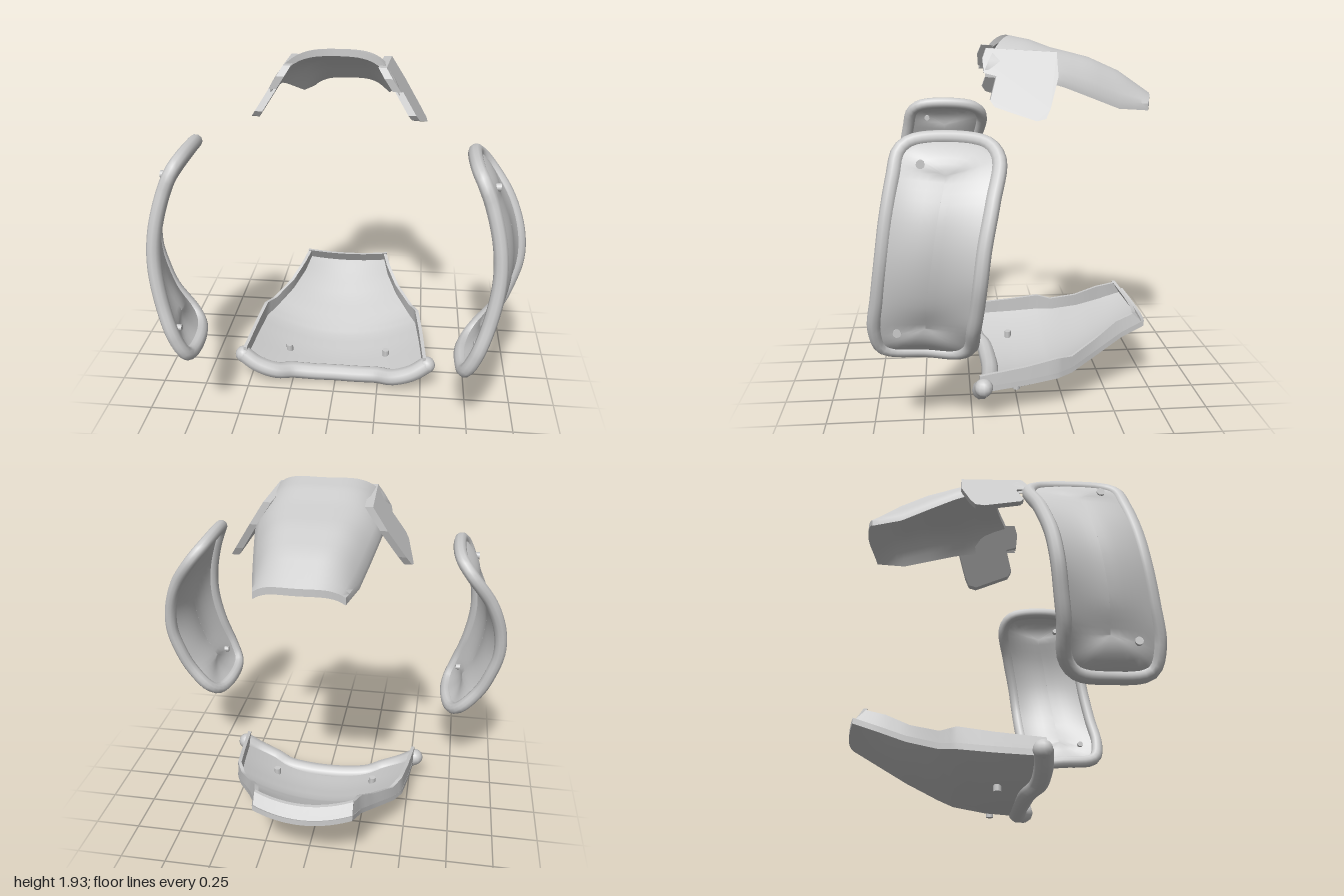
import * as THREE from 'three';
import { toCreasedNormals } from 'three/addons/utils/BufferGeometryUtils.js';

const material = new THREE.MeshStandardMaterial({ color: 0xcccccc, side: THREE.DoubleSide });
const V = (x, y, z) => new THREE.Vector3(x, y, z);
const lerp = THREE.MathUtils.lerp;

function add(parent, name, geometry) {
  const mesh = new THREE.Mesh(geometry, material);
  mesh.name = name;
  parent.add(mesh);
  return mesh;
}

// Linear lookup in a table of rows, t from 0 to 1
function sample(rows, t) {
  const p = t * (rows.length - 1);
  const i = Math.min(Math.floor(p), rows.length - 2);
  return rows[i].map((a, k) => lerp(a, rows[i + 1][k], p - i));
}

// Closed shell: surface f(u, v) plus a second skin moved back by offset
function shell(f, nu, nv, offset, crease = 0.65) {
  const pos = [], index = [], row = nu + 1, skin = row * (nv + 1);
  for (let s = 0; s < 2; s++)
    for (let j = 0; j <= nv; j++)
      for (let i = 0; i <= nu; i++) {
        const p = f(i / nu, j / nv).addScaledVector(offset, -s);
        pos.push(p.x, p.y, p.z);
      }
  const quad = (a, b, c, d) => index.push(a, b, c, a, c, d);
  for (let j = 0; j < nv; j++)
    for (let i = 0; i < nu; i++) {
      const a = j * row + i, b = a + 1, c = b + row, d = a + row;
      quad(a, b, c, d);
      quad(a + skin, d + skin, c + skin, b + skin);
    }
  const wall = (a, b) => quad(a, a + skin, b + skin, b);
  for (let i = 0; i < nu; i++) {
    wall(i, i + 1);
    wall(nv * row + i + 1, nv * row + i);
  }
  for (let j = 0; j < nv; j++) {
    wall((j + 1) * row, j * row);
    wall(j * row + nu, (j + 1) * row + nu);
  }
  const g = new THREE.BufferGeometry();
  g.setAttribute('position', new THREE.Float32BufferAttribute(pos, 3));
  g.setIndex(index);
  return toCreasedNormals(g, crease);
}

// Curved side panel with a rolled rim, built at +x
function sidePanel(name) {
  const group = new THREE.Group();
  group.name = name;
  const outline = new THREE.CatmullRomCurve3([
    V(0.70, 0.51, 0.67), V(0.745, 0.62, 0.705), V(0.80, 0.80, 0.68), V(0.83, 1.0, 0.65),
    V(0.82, 1.17, 0.625), V(0.775, 1.35, 0.59), V(0.73, 1.46, 0.56), V(0.705, 1.50, 0.49),
    V(0.715, 1.485, 0.18), V(0.77, 1.42, 0.125), V(0.89, 1.25, 0.16), V(0.955, 1.07, 0.20),
    V(0.965, 0.92, 0.22), V(0.93, 0.78, 0.235), V(0.88, 0.66, 0.25), V(0.78, 0.53, 0.265),
    V(0.73, 0.485, 0.32), V(0.69, 0.485, 0.47)], true);
  const spine = new THREE.CatmullRomCurve3([
    V(0.79, 0.64, 0.47), V(0.86, 0.78, 0.46), V(0.90, 1.0, 0.43), V(0.88, 1.18, 0.40), V(0.81, 1.36, 0.36)]);
  const skin = (u, v) => {
    const edge = outline.getPoint((1 - v) % 1);
    const mid = spine.getPoint(THREE.MathUtils.clamp((edge.y - 0.62) / 0.76, 0, 1));
    const p = mid.clone().lerp(edge, u);
    p.x = lerp(mid.x, edge.x, u * u) + 0.012;
    return p;
  };
  add(group, 'panelSkin', shell(skin, 6, 72, V(0.025, 0, 0), 0.9));
  add(group, 'panelRim', new THREE.TubeGeometry(outline, 90, 0.035, 10, true));
  // Fixing studs near the two ends
  for (const [x, y, z] of [[0.77, 0.62, 0.60], [0.785, 1.41, 0.47]]) {
    const stud = add(group, 'panelStud', new THREE.CylinderGeometry(0.016, 0.02, 0.06, 10));
    stud.rotation.z = Math.PI / 2;
    stud.position.set(x, y, z);
  }
  return group;
}

// Arched top cover with a drooping tail
function topCover() {
  const group = new THREE.Group();
  group.name = 'topCover';
  // z, half width, centre y, edge y
  const rows = [[0.02, 0.32, 1.937, 1.78], [-0.09, 0.32, 1.915, 1.765], [-0.2, 0.315, 1.875, 1.745],
    [-0.4, 0.28, 1.825, 1.67], [-0.56, 0.25, 1.755, 1.61], [-0.73, 0.21, 1.64, 1.595]];
  const skin = (u, v) => {
    const [z, w, yc, ye] = sample(rows, v), s = u * 2 - 1;
    const sweep = 0.14 * Math.max(0, 1 - v * 2.2) + 0.04 * v;
    return V(s * w, yc - (yc - ye) * s ** 4, z + sweep * s * s);
  };
  add(group, 'coverShell', shell(skin, 24, 20, V(0, 0.035, 0)));
  // Slanted side tabs, outlined in z and y
  const tab = [[0.15, 1.88], [0.17, 1.83], [0.165, 1.765], [0.105, 1.75], [0.14, 1.64], [0.12, 1.61],
    [-0.08, 1.545], [-0.125, 1.555], [-0.15, 1.6], [-0.2, 1.745], [-0.2, 1.86]];
  const shape = new THREE.Shape(tab.map(([z, y]) => new THREE.Vector2(z, y)));
  const flat = new THREE.ExtrudeGeometry(shape, { depth: 0.04, bevelEnabled: false });
  const p = flat.attributes.position;
  for (let i = 0; i < p.count; i++) {
    const z = p.getX(i), y = p.getY(i), d = p.getZ(i);
    p.setXYZ(i, 0.255 + (1.88 - y) * 0.64 - d, y, z);
  }
  flat.computeVertexNormals();
  add(group, 'leftTab', flat);
  add(group, 'rightTab', flat).scale.x = -1;
  return group;
}

// Scooped lower plate with upright flange and rolled front lip
function lowerPlate() {
  const group = new THREE.Group();
  group.name = 'lowerPlate';
  // z, half width, centre y, side y, flange top y
  const rows = [[0.15, 0.53, 0.025, 0.16, 0.25], [-0.03, 0.505, 0.035, 0.18, 0.28], [-0.2, 0.48, 0.065, 0.20, 0.31],
    [-0.28, 0.44, 0.10, 0.21, 0.30], [-0.45, 0.35, 0.18, 0.27, 0.355], [-0.6, 0.29, 0.265, 0.335, 0.425],
    [-0.74, 0.26, 0.35, 0.385, 0.46]];
  const bend = v => (v < 0.17 ? 0.06 * (1 - v / 0.17) : 0.035 * Math.max(0, v * 2 - 1));
  const floor = (u, v) => {
    const [z, w, yc, ys] = sample(rows, v), s = u * 2 - 1;
    return V(s * w, lerp(yc, ys, s * s) + 0.03, z + bend(v) * s * s);
  };
  add(group, 'plateFloor', shell(floor, 20, 18, V(0, 0.03, 0)));
  const flange = side => (u, v) => {
    const [z, w, , ys, yt] = sample(rows, v);
    const lean = 0.05 * Math.max(0, v * 2 - 1);
    return V(side * (w - 0.005 * u), lerp(ys, yt, u), z + bend(v) + lean * u);
  };
  add(group, 'leftFlange', shell(flange(1), 2, 18, V(0.02, 0, 0)));
  add(group, 'rightFlange', shell(flange(-1), 2, 18, V(-0.02, 0, 0)));
  // Rear flange leans forward, square to the floor
  const rear = (u, v) => {
    const s = 1 - 2 * v;
    return V(s * 0.258, 0.35 + 0.035 * s * s + 0.08 * u, -0.74 + 0.035 * s * s + 0.05 * u);
  };
  add(group, 'rearFlange', shell(rear, 2, 12, V(0, 0, -0.02)));
  // Front lip
  const half = [[0.53, 0.19, 0.19], [0.45, 0.135, 0.2], [0.34, 0.09, 0.19], [0.25, 0.07, 0.15], [0.12, 0.057, 0.135]];
  const path = [...half.map(([x, y, z]) => V(-x, y, z)), V(0, 0.055, 0.13), ...half.reverse().map(([x, y, z]) => V(x, y, z))];
  const lip = new THREE.CatmullRomCurve3(path);
  add(group, 'frontLip', new THREE.TubeGeometry(lip, 48, 0.048, 10));
  for (const s of [-1, 1]) {
    add(group, 'lipEnd', new THREE.SphereGeometry(0.048, 12, 8)).position.set(s * 0.53, 0.19, 0.19);
    add(group, 'plateStud', new THREE.CylinderGeometry(0.02, 0.02, 0.09, 8)).position.set(s * 0.29, 0.1, 0);
  }
  return group;
}

export function createModel() {
  const model = new THREE.Group();
  model.name = 'armourSet';
  const right = sidePanel('rightPanel');
  right.scale.x = -1;
  model.add(sidePanel('leftPanel'), right, topCover(), lowerPlate());
  return model;
}
